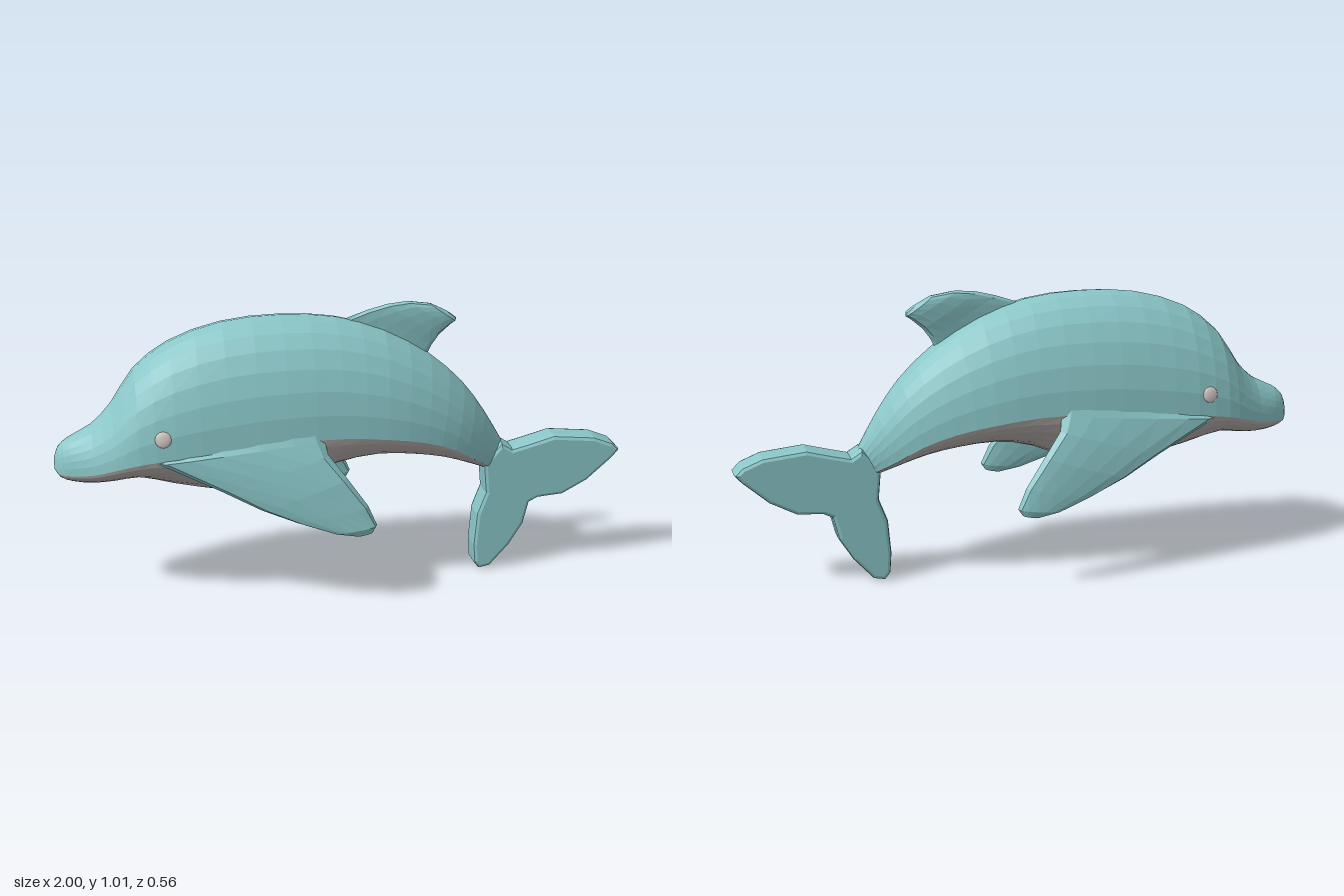
import * as THREE from 'three';

const skin = new THREE.MeshStandardMaterial({ name: 'tealSkin', color: 0x8ac6c8, flatShading: true });
const belly = new THREE.MeshStandardMaterial({ name: 'greyBelly', color: 0xb4aeab, flatShading: true });
const eyeWhite = new THREE.MeshStandardMaterial({ name: 'paleEye', color: 0xd2c8c5 });

// Joins equal-length rows of points into a surface
function loft(rows) {
  const n = rows[0].length;
  const pos = [], index = [];
  rows.forEach(row => row.forEach(p => pos.push(p.x, p.y, p.z)));
  for (let u = 0; u < rows.length - 1; u++) {
    for (let v = 0; v < n - 1; v++) {
      const a = u * n + v, b = a + n;
      index.push(a, b, b + 1, a, b + 1, a + 1);
    }
  }
  const g = new THREE.BufferGeometry();
  g.setAttribute('position', new THREE.Float32BufferAttribute(pos, 3));
  g.setIndex(index);
  g.computeVertexNormals();
  return g;
}

// Closes a loft by shrinking its end row to a point
function endPoint(row) {
  const c = new THREE.Vector3();
  row.forEach(p => c.addScaledVector(p, 1 / row.length));
  return row.map(() => c);
}

function mesh(name, geometry, material) {
  const m = new THREE.Mesh(geometry, material);
  m.name = name;
  return m;
}

// Body sections: top x,y / colour line x,y / bottom x,y / half width
const SECTIONS = [
  [-1.0, 0.52, -1.0, 0.49, -1.0, 0.48, 0.012],
  [-0.985, 0.56, -0.983, 0.475, -0.98, 0.453, 0.045],
  [-0.95, 0.59, -0.94, 0.477, -0.94, 0.437, 0.075],
  [-0.87, 0.63, -0.87, 0.49, -0.87, 0.43, 0.115],
  [-0.8, 0.70, -0.8, 0.515, -0.8, 0.435, 0.15],
  [-0.72, 0.82, -0.72, 0.54, -0.72, 0.445, 0.18],
  [-0.6, 0.91, -0.6, 0.56, -0.6, 0.41, 0.198],
  [-0.42, 0.97, -0.42, 0.58, -0.42, 0.368, 0.205],
  [-0.22, 0.985, -0.22, 0.597, -0.24, 0.365, 0.207],
  [-0.03, 0.968, -0.03, 0.597, -0.04, 0.445, 0.2],
  [0.14, 0.915, 0.12, 0.58, 0.1, 0.473, 0.19],
  [0.3, 0.82, 0.26, 0.55, 0.22, 0.465, 0.167],
  [0.42, 0.71, 0.37, 0.505, 0.33, 0.447, 0.137],
  [0.5, 0.6, 0.45, 0.45, 0.42, 0.42, 0.1],
  [0.57, 0.48, 0.52, 0.4, 0.49, 0.39, 0.045],
];

function bodyHalf(lower) {
  const curve = pick => new THREE.CatmullRomCurve3(SECTIONS.map(pick));
  const edge = curve(s => lower ? new THREE.Vector3(s[4], s[5], 0) : new THREE.Vector3(s[0], s[1], 0));
  const side = curve(s => new THREE.Vector3(s[2], s[3], s[6]));
  const rows = [], steps = 28, around = 14, power = lower ? 1.2 : 1;
  for (let i = 0; i <= steps; i++) {
    const e = edge.getPoint(i / steps), m = side.getPoint(i / steps);
    const row = [];
    for (let j = 0; j <= around; j++) {
      const a = Math.PI * j / around;
      const c = Math.cos(a), s = Math.pow(Math.max(0, Math.sin(a)), power);
      const z = m.z * Math.sign(c) * Math.pow(Math.abs(c), power) * (lower ? -1 : 1);
      row.push(new THREE.Vector3(m.x + (e.x - m.x) * s, m.y + (e.y - m.y) * s, z));
    }
    rows.push(row);
  }
  return loft([endPoint(rows[0]), ...rows, endPoint(rows[steps])]);
}

// Fin from sections: leading point, trailing point, half thickness
function fin(sections, dir, mirror = 1) {
  const N = 14;
  const rows = sections.map(([lead, trail, t]) => {
    const a = new THREE.Vector3(...lead), b = new THREE.Vector3(...trail);
    const row = [];
    for (let i = 0; i <= N; i++) {
      const ang = 2 * Math.PI * i / N, s = Math.sin(ang);
      const p = a.clone().lerp(b, (1 - Math.cos(ang)) / 2);
      p.z = (p.z + dir * t * Math.sign(s) * Math.sqrt(Math.abs(s))) * mirror;
      row.push(p);
    }
    return mirror < 0 ? row.reverse() : row;
  });
  return loft([...rows, endPoint(rows[rows.length - 1])]);
}

const FLIPPER = [
  [[-0.66, 0.56, 0.16], [-0.12, 0.68, 0.165], 0.025],
  [[-0.66, 0.545, 0.188], [-0.1, 0.6, 0.195], 0.025],
  [[-0.45, 0.44, 0.213], [-0.09, 0.55, 0.215], 0.027],
  [[-0.32, 0.37, 0.23], [-0.03, 0.47, 0.237], 0.027],
  [[-0.2, 0.32, 0.243], [0.04, 0.37, 0.252], 0.026],
  [[-0.08, 0.28, 0.255], [0.07, 0.3, 0.258], 0.025],
  [[0.0, 0.265, 0.258], [0.055, 0.277, 0.258], 0.016],
];

const DORSAL = [
  [[-0.02, 0.95, 0], [0.29, 0.81, 0], 0.006],
  [[0.08, 0.985, 0], [0.31, 0.85, 0], 0.013],
  [[0.15, 1.003, 0], [0.335, 0.885, 0], 0.02],
  [[0.22, 1.01, 0], [0.375, 0.92, 0], 0.023],
  [[0.3, 0.998, 0], [0.393, 0.932, 0], 0.021],
  [[0.36, 0.968, 0], [0.393, 0.943, 0], 0.012],
];

// Two-lobed tail outline
const FLUKE = [
  [0.495, 0.41], [0.505, 0.3], [0.475, 0.22], [0.465, 0.1], [0.47, 0.03], [0.49, 0.004],
  [0.53, 0.012], [0.6, 0.09], [0.65, 0.17], [0.67, 0.25], [0.7, 0.265], [0.79, 0.272],
  [0.88, 0.32], [0.97, 0.4], [0.996, 0.43], [0.97, 0.457], [0.9, 0.485], [0.75, 0.5],
  [0.66, 0.475], [0.6, 0.46], [0.56, 0.485],
];

export function createModel() {
  const model = new THREE.Group();
  model.name = 'dolphin';
  model.add(mesh('upperBody', bodyHalf(false), skin));
  model.add(mesh('belly', bodyHalf(true), belly));
  model.add(mesh('dorsalFin', fin(DORSAL, -1), skin));

  // Tail fluke with softened rims
  const shape = new THREE.Shape(FLUKE.map(p => new THREE.Vector2(...p)));
  const fluke = new THREE.ExtrudeGeometry(shape, {
    depth: 0.06, bevelEnabled: true, bevelThickness: 0.02, bevelSize: 0.014, bevelOffset: -0.014, bevelSegments: 2,
  });
  fluke.translate(0, 0, -0.03);
  model.add(mesh('tailFluke', fluke, skin));

  // Paired flippers and eyes
  for (const side of [1, -1]) {
    const label = side > 0 ? 'left' : 'right';
    model.add(mesh(label + 'Flipper', fin(FLIPPER, 1, side), skin));
    const eye = mesh(label + 'Eye', new THREE.SphereGeometry(0.028, 12, 8), eyeWhite);
    eye.scale.z = 0.3;
    eye.position.set(-0.64, 0.63, 0.188 * side);
    eye.rotation.set(-0.15 * side, -0.12 * side, 0);
    model.add(eye);
  }
  return model;
}
